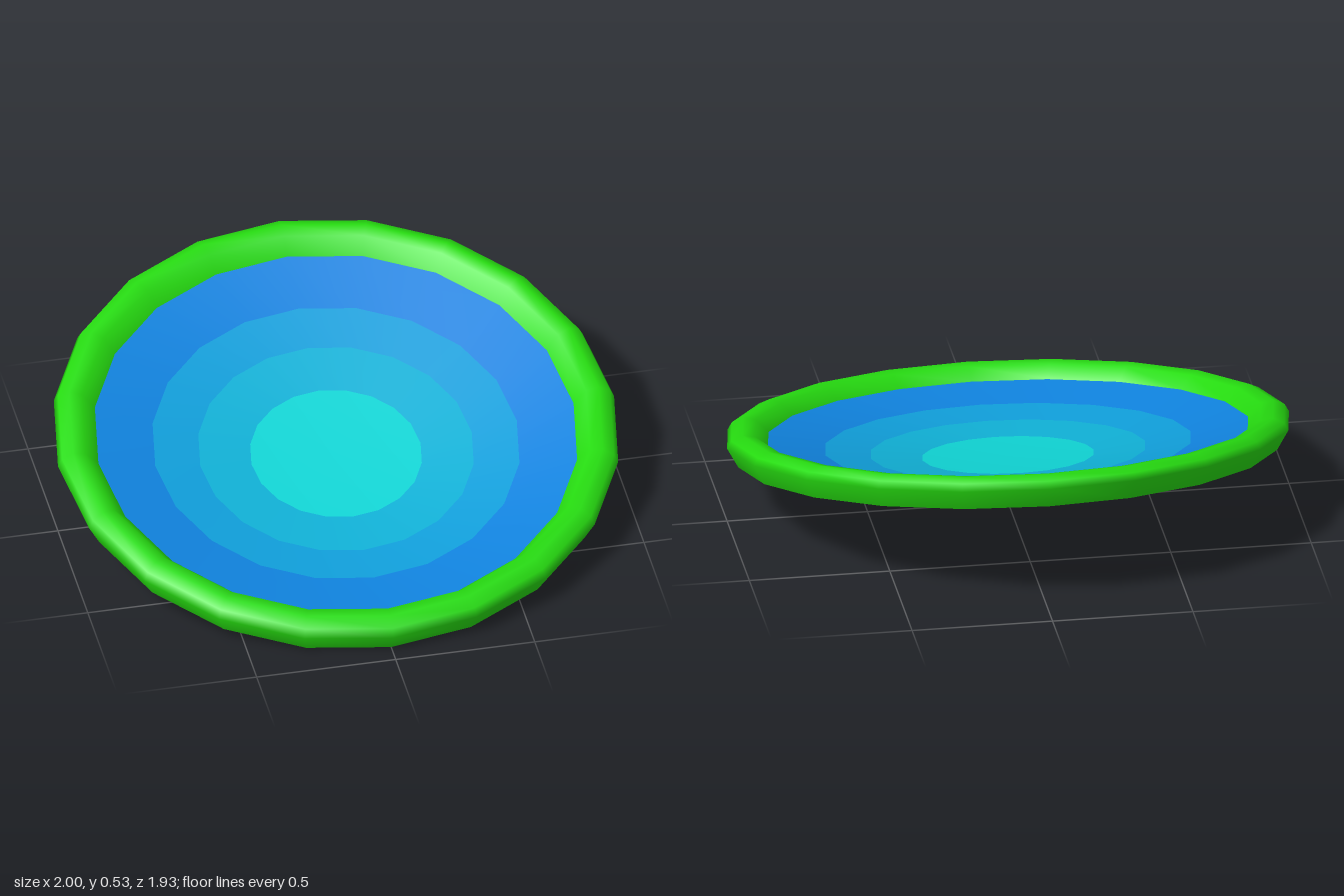
import * as THREE from 'three';
import { mergeVertices } from 'three/addons/utils/BufferGeometryUtils.js';

const SIDES = 20;
const DEPTH = 0.963; // front-to-back squash
const SLOPE = 0.222; // rise toward the back
const BASE = 0.281; // height of the widest ring at the centre

function material(name, color) {
  const m = new THREE.MeshStandardMaterial({ color });
  m.name = name;
  return m;
}

// Spins a profile of [radius, height] points, then leans it up toward the back
function leaningRing(name, profile, mat) {
  let geo = new THREE.LatheGeometry(profile.map(([r, h]) => new THREE.Vector2(r, h)), SIDES);
  const pos = geo.attributes.position;
  for (let i = 0; i < pos.count; i++) {
    const z = pos.getZ(i) * DEPTH;
    pos.setY(i, BASE + pos.getY(i) - SLOPE * z);
    pos.setZ(i, z);
  }
  geo.deleteAttribute('uv');
  geo.deleteAttribute('normal');
  geo = mergeVertices(geo, 1e-5);
  geo.computeVertexNormals();
  const mesh = new THREE.Mesh(geo, mat);
  mesh.name = name;
  return mesh;
}

export function createModel() {
  const group = new THREE.Group();
  group.name = 'leaningDish';
  const green = material('leaf green', 0x26dc10);

  // Rounded rim, from the foot of the outer wall over the top to the inner edge
  group.add(leaningRing('rim', [
    [0.96, -0.0755], [1, 0], [0.985, 0.028], [0.945, 0.047],
    [0.9, 0.038], [0.855, -0.008], [0.848, -0.03],
  ], green));

  // Shallow conical underside
  group.add(leaningRing('underside', [[0, -0.125], [0.96, -0.0755]], green));

  // Concentric coloured bands of the hollow, outermost first
  const bowl = (r) => 0.137 * r * r - 0.11;
  const radii = [0.857, 0.65, 0.488, 0.304, 0];
  const bands = [
    ['outerBand', material('deep blue', 0x1084e0)],
    ['middleBand', material('sky blue', 0x10a0dc)],
    ['innerBand', material('light blue', 0x10b2d8)],
    ['centreDisc', material('turquoise', 0x10d6d6)],
  ];
  bands.forEach(([name, mat], i) => {
    const [a, b] = [radii[i], radii[i + 1]];
    group.add(leaningRing(name, [[a, bowl(a)], [b, bowl(b)]], mat));
  });

  return group;
}
